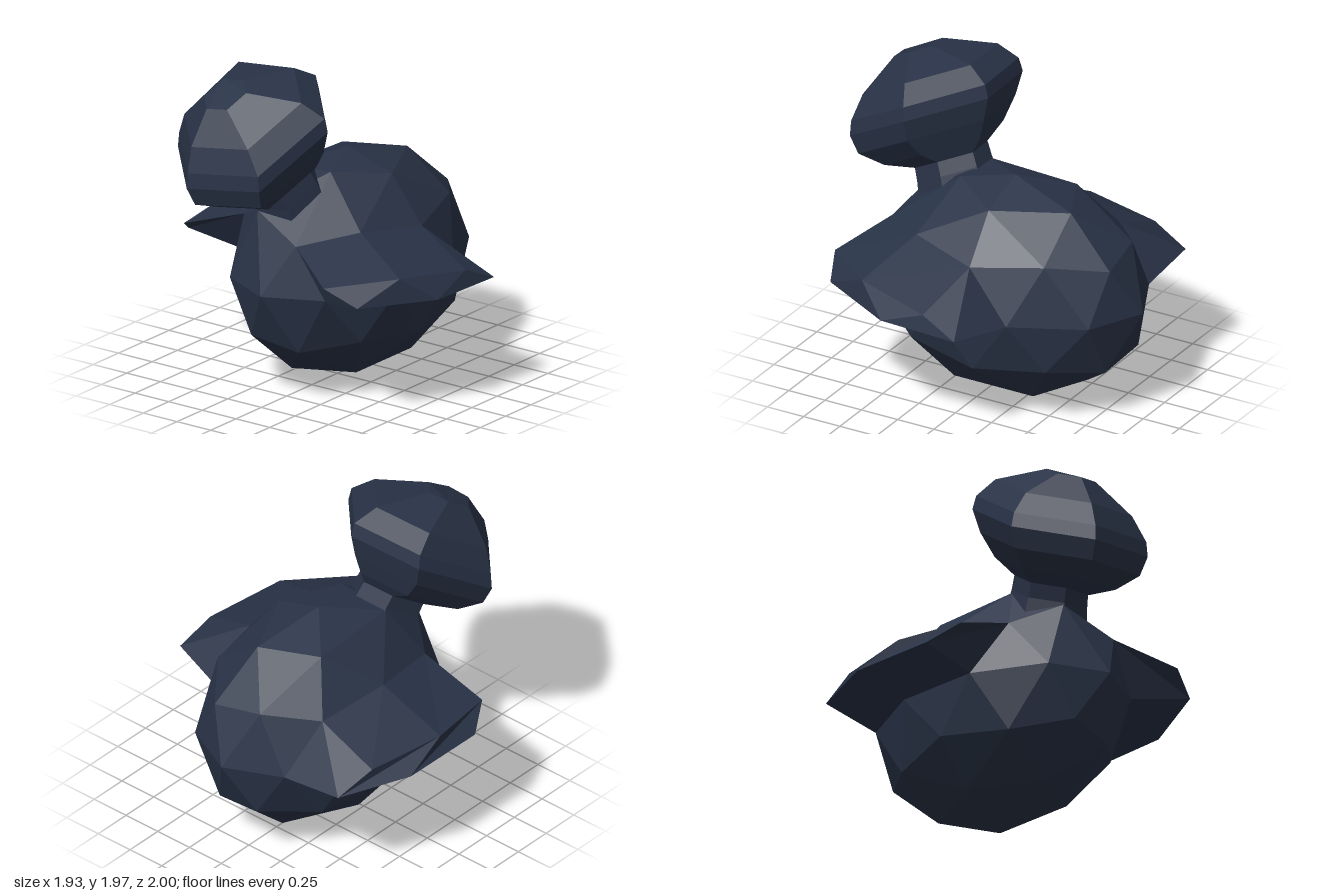
import * as THREE from 'three';

const material = new THREE.MeshStandardMaterial({ color: 0x293347, flatShading: true });

// Body ellipsoid
const CENTER = [0, 0.7, -0.12];
const RADII = [0.6, 0.7, 0.88];

// Point on the body; azimuth runs from +x towards +z, h is the height on the unit sphere
function onBody(azimuth, h) {
  const a = THREE.MathUtils.degToRad(azimuth), r = Math.sqrt(1 - h * h);
  const unit = [r * Math.cos(a), h, r * Math.sin(a)];
  return unit.map((u, i) => CENTER[i] + RADII[i] * u);
}
const NECK_ROW = 0.851, MID_ROW = 0.526, UPPER_ROW = 0.447;

// Faceted skin over a row of closed rings, capped at both ends
// (each ring runs clockwise as seen from the last one)
function loft(name, rings) {
  const pos = [];
  const tri = (...points) => points.forEach(p => pos.push(...p));
  const n = rings[0].length;
  for (let k = 0; k + 1 < rings.length; k++) {
    for (let i = 0; i < n; i++) {
      const j = (i + 1) % n, lo = rings[k], hi = rings[k + 1];
      tri(lo[i], hi[i], hi[j]);
      tri(lo[i], hi[j], lo[j]);
    }
  }
  const first = rings[0], last = rings[rings.length - 1];
  for (let i = 1; i + 1 < n; i++) {
    tri(first[0], first[i], first[i + 1]);
    tri(last[0], last[i + 1], last[i]);
  }
  const geometry = new THREE.BufferGeometry();
  geometry.setAttribute('position', new THREE.Float32BufferAttribute(pos, 3));
  geometry.computeVertexNormals();
  const mesh = new THREE.Mesh(geometry, material);
  mesh.name = name;
  return mesh;
}

function makeBody() {
  const geometry = new THREE.IcosahedronGeometry(1, 1);
  geometry.rotateZ(-Math.atan(2 / (1 + Math.sqrt(5)))); // one corner on top
  geometry.scale(...RADII).translate(...CENTER);
  // Pull the three corners under the neck up to its base
  const pulls = [
    [onBody(108, MID_ROW), [-0.18, 1.15, 0.55]],
    [onBody(72, NECK_ROW), [0.1, 1.35, 0.2]],
    [onBody(144, NECK_ROW), [-0.25, 1.32, 0.2]],
  ];
  const p = geometry.attributes.position, v = new THREE.Vector3();
  for (let i = 0; i < p.count; i++) {
    v.fromBufferAttribute(p, i);
    for (const [from, to] of pulls) {
      if (v.distanceTo(new THREE.Vector3(...from)) < 0.05) p.setXYZ(i, ...to);
    }
  }
  geometry.computeVertexNormals();
  const mesh = new THREE.Mesh(geometry, material);
  mesh.name = 'body';
  return mesh;
}

function makeHead() {
  // Tilted hexagon shared by all sections
  const hexagon = [
    [-0.34, 0.19, -0.395], [0.15, 0.23, -0.445], [0.5, 0.13, -0.07],
    [0.34, -0.15, 0.395], [-0.16, -0.22, 0.445], [-0.5, -0.13, 0.08],
  ];
  // Centre x, y, z and scale, from inside the body to the crown
  const sections = [
    [-0.08, 1.0, 0.28, 0.5],
    [-0.11, 1.255, 0.365, 0.43],
    [-0.13, 1.335, 0.4, 0.42],
    [-0.18, 1.365, 0.48, 0.69],
    [-0.2, 1.46, 0.54, 0.91],
    [-0.21, 1.59, 0.55, 1],
    [-0.21, 1.68, 0.56, 0.97],
    [-0.24, 1.795, 0.61, 0.78],
    [-0.29, 1.9, 0.72, 0.28],
  ];
  return loft('neckAndHead', sections.map(([x, y, z, s]) =>
    hexagon.map(d => [x + s * d[0], y + s * d[1], z + s * d[2]])));
}

export function createModel() {
  const model = new THREE.Group();
  model.name = 'bird';
  model.add(makeBody(), makeHead());

  // Wing sections: upper root, upper tip, lower tip, lower root
  model.add(loft('leftWing', [
    [onBody(0, UPPER_ROW), [0.93, 0.845, -0.03], [0.965, 0.74, -0.265], onBody(-18, 0)],
    [onBody(36, MID_ROW), [0.81, 0.9, 0.46], [0.94, 0.74, 0.255], onBody(18, 0)],
    [onBody(72, UPPER_ROW), [0.515, 0.88, 0.82], [0.705, 0.77, 0.74], onBody(54, 0)],
  ]));
  model.add(loft('rightWing', [
    [onBody(144, UPPER_ROW), [-0.865, 0.865, 0.365], [-0.97, 0.76, 0.18], onBody(162, 0)],
    [onBody(180, MID_ROW), [-0.93, 0.875, -0.09], [-0.965, 0.76, -0.395], onBody(198, 0)],
    [onBody(216, UPPER_ROW), [-0.83, 0.85, -0.59], [-0.775, 0.75, -0.835], onBody(234, 0)],
  ]));
  return model;
}
